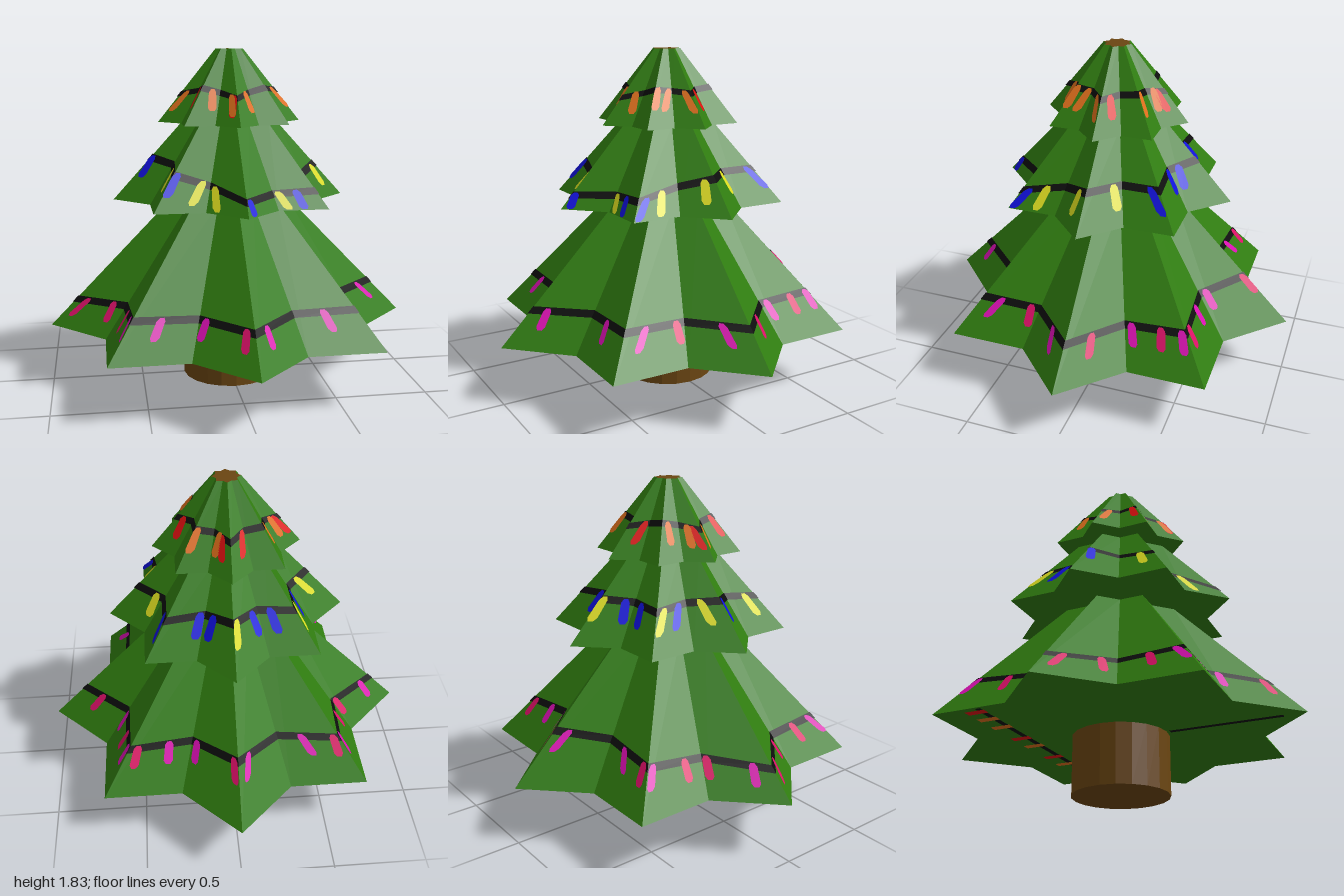
import * as THREE from 'three';

const POINTS = 16; // eight tips and eight notches around the star
const mat = (name, color) => Object.assign(new THREE.MeshStandardMaterial({ color }), { name });

// Geometry from a list of convex polygons, each a list of Vector3, anticlockwise from outside
function polygons(list) {
  const pos = [];
  for (const p of list) {
    for (let i = 1; i < p.length - 1; i++) {
      for (const v of [p[0], p[i], p[i + 1]]) pos.push(v.x, v.y, v.z);
    }
  }
  const g = new THREE.BufferGeometry();
  g.setAttribute('position', new THREE.Float32BufferAttribute(pos, 3));
  g.computeVertexNormals();
  return g;
}

// Point k of the star outline at a given tip radius
function starPoint(k, r, y) {
  const a = (k / POINTS) * Math.PI * 2;
  const rr = k % 2 ? r * 0.765 : r;
  return new THREE.Vector3(Math.sin(a) * rr, y, Math.cos(a) * rr);
}

// wire: height at each tip, from the front round towards +x
// lights: direction of each bulb in degrees, from the front round towards +x
const lower = {
  name: 'lower', y0: 0.32, y1: 1.02, r0: 1, r1: 0.32, width: 0.044, length: 0.1, band: 0.034,
  wire: [0.5, 0.515, 0.505, 0.53, 0.58, 0.53, 0.465, 0.51],
  lights: {
    magenta: [7, 33, 52, 81, 115, 134, 150, 160, 185, 212, 227, 263, 313, 325, 338],
    pink: [66, 100, 125, 139, 178, 222, 241, 249, 275, 288, 303, 356],
  },
};
const middle = {
  name: 'middle', y0: 1.02, y1: 1.44, r0: 0.64, r1: 0.26, width: 0.044, length: 0.115, band: 0.034,
  wire: [1.09, 1.11, 1.2, 1.2, 1.24, 1.22, 1.25, 1.2],
  lights: {
    yellow: [23, 58, 82, 111, 181, 227, 258, 306, 332, 342],
    blue: [1, 34, 46, 133, 157, 163, 199, 210, 240, 272, 316],
  },
};
const upper = {
  name: 'upper', y0: 1.44, y1: 1.83, r0: 0.39, r1: 0.075, width: 0.036, length: 0.11, band: 0.03,
  wire: [1.58, 1.63, 1.61, 1.63, 1.6, 1.63, 1.59, 1.63],
  lights: {
    orange: [19, 45, 65, 84, 139, 158, 235, 256, 278, 331, 353],
    red: [103, 169, 200, 263, 308, 358],
  },
};

// Wire height at position u, counted in star points
function wireHeight(tier, u) {
  const i = Math.floor(u / 2);
  return THREE.MathUtils.lerp(tier.wire[i % 8], tier.wire[(i + 1) % 8], u / 2 - i);
}

// Point on a tier's side: face k, fraction t across it, height y, lifted outwards by off
function onSide(tier, k, t, y, off) {
  const r = THREE.MathUtils.mapLinear(y, tier.y0, tier.y1, tier.r0, tier.r1) + off;
  return starPoint(k, r, y).lerp(starPoint(k + 1, r, y), t);
}

// Outline of one bulb hanging from the wire, kept within one face
function bulb(tier, degrees, i) {
  const u = (degrees / 360) * POINTS;
  const k = Math.floor(u);
  const wireY = wireHeight(tier, u);
  const faceWidth = onSide(tier, k, 0, wireY, 0).distanceTo(onSide(tier, k, 1, wireY, 0));
  const hw = tier.width / 2 / faceWidth;
  const lean = ((i % 3) - 1) * hw * 0.6;
  const margin = hw + Math.abs(lean);
  const t = THREE.MathUtils.clamp(u - k, margin, 1 - margin);
  const top = wireY + 0.012;
  const bottom = Math.max(top - tier.length, tier.y0 + 0.005);
  const outline = [[-0.5, -1], [0.5, -1], [1, -0.7], [1, 0.7], [0.5, 1], [-0.5, 1], [-1, 0.7], [-1, -0.7]];
  return outline.map(([a, b]) =>
    onSide(tier, k, t + a * hw + b * lean, (top + bottom) / 2 + (b * (top - bottom)) / 2, 0.009));
}

export function createModel() {
  const model = new THREE.Group();
  model.name = 'decoratedTree';
  const mats = {
    green: mat('needleGreen', 0x307d10),
    brown: mat('barkBrown', 0x6b4612),
    black: mat('wireBlack', 0x0d0d0d),
    magenta: mat('magenta', 0xdc10b4),
    pink: mat('pink', 0xdc1068),
    yellow: mat('yellow', 0xdcdc20),
    blue: mat('blue', 0x1010dc),
    orange: mat('orange', 0xe0701c),
    red: mat('red', 0xe01010),
  };
  const add = (parent, name, geometry, material) => {
    const mesh = new THREE.Mesh(geometry, mats[material]);
    mesh.name = name;
    parent.add(mesh);
    return mesh;
  };

  // Trunk
  const trunk = new THREE.CylinderGeometry(0.26, 0.26, 0.33, 20).toNonIndexed();
  trunk.computeVertexNormals();
  add(model, 'trunk', trunk, 'brown').position.y = 0.165;

  // Star-shaped tiers, each with a wire and bulbs
  for (const tier of [lower, middle, upper]) {
    const group = new THREE.Group();
    group.name = tier.name + 'Tier';
    model.add(group);
    const needles = [], wire = [], cap = [];
    const base = new THREE.Vector3(0, tier.y0, 0), tip = new THREE.Vector3(0, tier.y1, 0);
    for (let k = 0; k < POINTS; k++) {
      const b0 = starPoint(k, tier.r0, tier.y0), b1 = starPoint(k + 1, tier.r0, tier.y0);
      const t0 = starPoint(k, tier.r1, tier.y1), t1 = starPoint(k + 1, tier.r1, tier.y1);
      needles.push([b0, b1, t1, t0], [base, b1, b0]);
      cap.push([tip, t0, t1]);
      const h0 = wireHeight(tier, k), h1 = wireHeight(tier, k + 1), h = tier.band / 2;
      wire.push([onSide(tier, k, 0, h0 - h, 0.006), onSide(tier, k, 1, h1 - h, 0.006),
        onSide(tier, k, 1, h1 + h, 0.006), onSide(tier, k, 0, h0 + h, 0.006)]);
    }
    add(group, 'needles', polygons(needles), 'green');
    add(group, 'wire', polygons(wire), 'black');
    if (tier === upper) add(group, 'cutTop', polygons(cap), 'brown');
    for (const [color, angles] of Object.entries(tier.lights)) {
      add(group, color + 'Lights', polygons(angles.map((d, i) => bulb(tier, d, i))), color);
    }
  }

  // Wire and lights painted on the underside of the lowest tier
  const under = new THREE.Group();
  under.name = 'undersideLights';
  model.add(under);
  const plate = (x, z, w, d, lift) => [[-1, -1], [1, -1], [1, 1], [-1, 1]].map(([a, b]) =>
    new THREE.Vector3(x + (a * w) / 2, 0.32 - lift, z + (b * d) / 2));
  add(under, 'wire', polygons([plate(0, -0.45, 1.4, 0.03, 0.004), plate(0, 0.58, 0.03, 0.6, 0.004)]), 'black');
  const row = (xs) => polygons(xs.map((x) => plate(x, -0.48, 0.045, 0.11, 0.007)));
  add(under, 'redLights', row([0.6, 0.14, -0.22, -0.66]), 'red');
  add(under, 'orangeLights', row([0.29, -0.08, -0.42, -0.55]), 'orange');
  return model;
}
